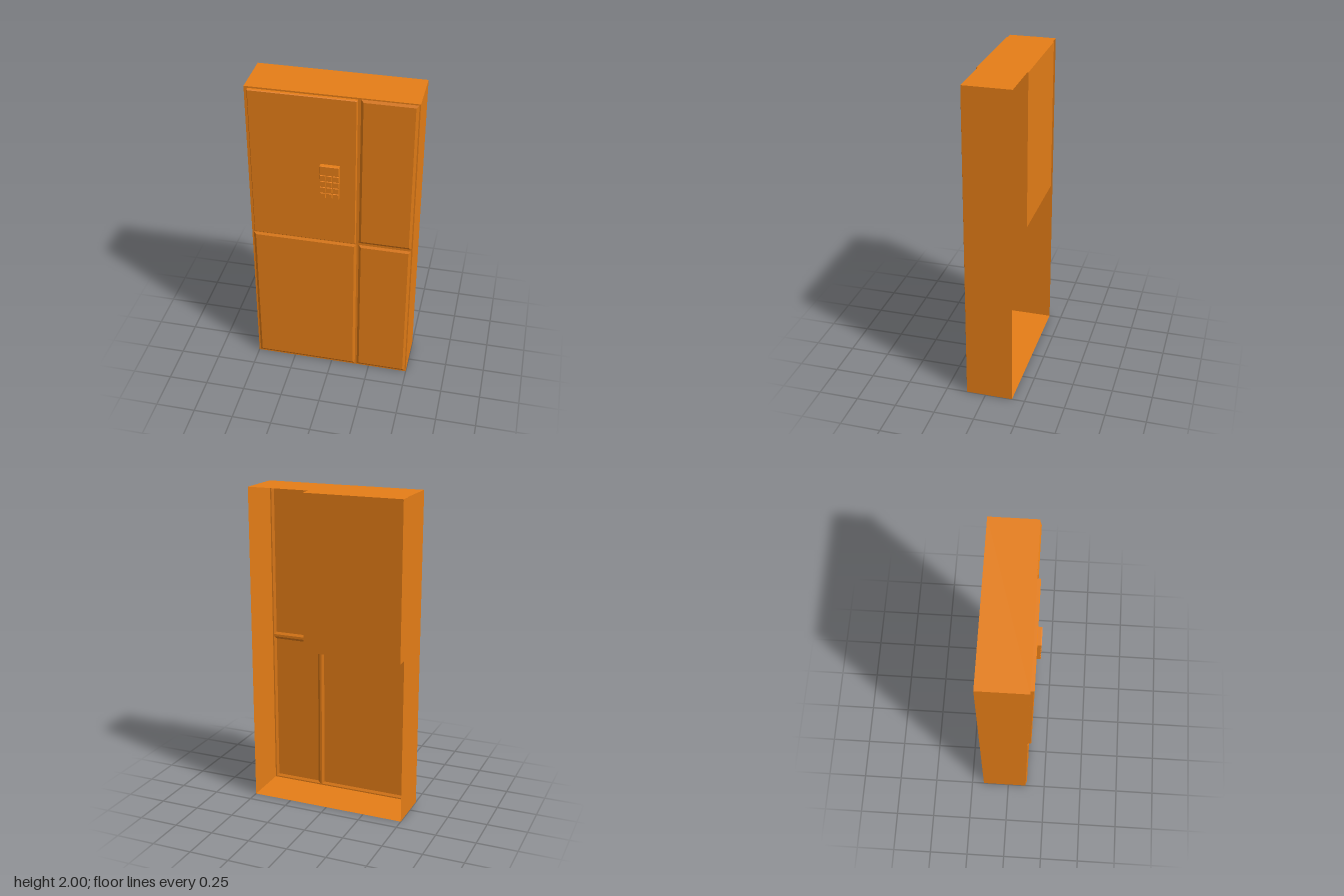
import * as THREE from 'three';

const material = new THREE.MeshStandardMaterial({ color: 0xe67e17, side: THREE.DoubleSide, flatShading: true });

// Rectangular ring of walls from z0 to z1, narrowing by inset, optionally capped at z1
function tray([x0, x1, y0, y1], z0, z1, inset = 0, cap = true) {
  const i = inset;
  const positions = [
    x0, y0, z0, x1, y0, z0, x1, y1, z0, x0, y1, z0,
    x0 + i, y0 + i, z1, x1 - i, y0 + i, z1, x1 - i, y1 - i, z1, x0 + i, y1 - i, z1,
  ];
  const index = [];
  for (let a = 0; a < 4; a++) {
    const b = (a + 1) % 4;
    index.push(a, b, b + 4, a, b + 4, a + 4);
  }
  if (cap) index.push(4, 5, 6, 4, 6, 7);
  if (z1 < z0) index.reverse();
  const geometry = new THREE.BufferGeometry();
  geometry.setAttribute('position', new THREE.Float32BufferAttribute(positions, 3));
  geometry.setIndex(index);
  const flat = geometry.toNonIndexed();
  flat.computeVertexNormals();
  return flat;
}

function outline(path, [x0, x1, y0, y1]) {
  path.moveTo(x0, y0);
  path.lineTo(x1, y0);
  path.lineTo(x1, y1);
  path.lineTo(x0, y1);
  path.closePath();
  return path;
}

export function createModel() {
  const model = new THREE.Group();
  model.name = 'lockerWall';
  const add = (name, geometry, parent = model) => {
    const mesh = new THREE.Mesh(geometry, material);
    mesh.name = name;
    parent.add(mesh);
    return mesh;
  };

  const back = -0.17, front = 0.12;
  const wall = [-0.5, 0.5, 0, 2];
  const opening = [-0.475, 0.15, 1.015, 1.985];
  const panels = {
    lowerRightPanel: [-0.49, 0.157, 0.008, 0.995],
    lowerLeftPanel: [0.17, 0.492, 0.008, 0.995],
    upperLeftPanel: [0.17, 0.492, 1.01, 1.992],
  };

  // Open-backed casing
  add('casingWalls', tray(wall, back, front, 0, false));

  // Front sheet, pierced for the panels and the safe
  const sheet = outline(new THREE.Shape(), wall);
  for (const rect of [opening, ...Object.values(panels)]) {
    sheet.holes.push(outline(new THREE.Path(), rect));
  }
  add('frontSheet', new THREE.ShapeGeometry(sheet).translate(0, 0, front));

  // Pressed panels with sloping borders
  for (const [name, rect] of Object.entries(panels)) {
    add(name, tray(rect, front, front + 0.008, 0.015));
  }

  // Safe compartment behind the door
  add('safeCompartment', tray(opening, front, back + 0.005));

  // Door with a small chamfer
  const door = new THREE.Group();
  door.name = 'door';
  model.add(door);
  const doorRect = [-0.479, 0.153, 1.012, 1.99];
  add('doorBack', tray(doorRect, 0.137, front), door);
  add('doorFront', tray(doorRect, 0.137, 0.141, 0.004), door);

  // Keypad: base, display and a grid of keys
  const keypad = new THREE.Group();
  keypad.name = 'keypad';
  door.add(keypad);
  const left = -0.058, right = 0.056, bottom = 1.34;
  add('keypadBase', tray([left, right, bottom, 1.558], 0.141, 0.162), keypad);
  add('display', tray([left, right, 1.506, 1.558], 0.162, 0.167, 0.002), keypad);
  const pitchX = 0.039, pitchY = 0.0405;
  for (let row = 0; row < 4; row++) {
    for (let col = 0; col < 3; col++) {
      const x = left + col * pitchX, y = bottom + row * pitchY;
      add('key', tray([x, x + 0.035, y, y + 0.034], 0.162, 0.167, 0.002), keypad);
    }
  }

  return model;
}
